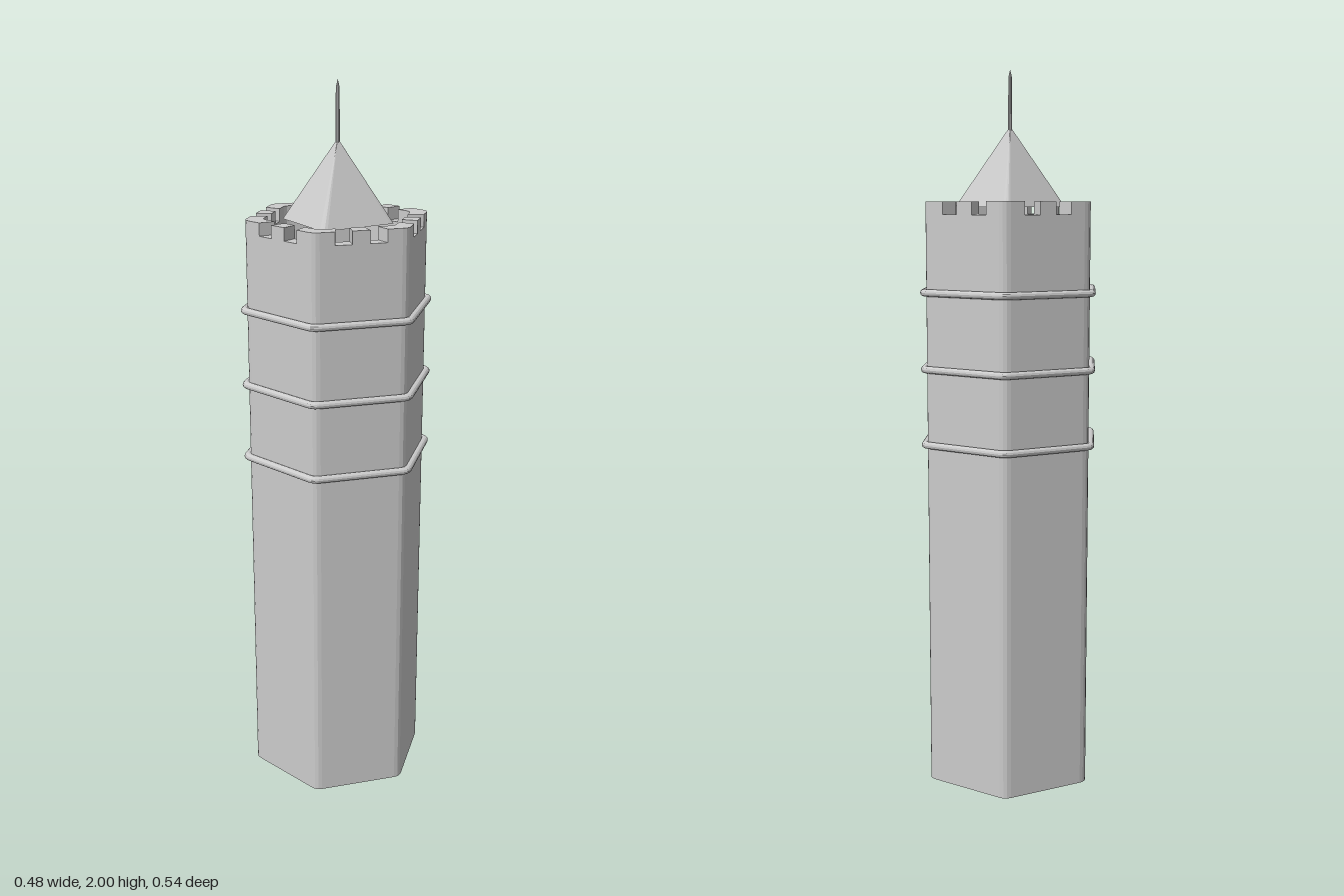
import * as THREE from 'three';

const SEG = 3; // facets that ease each corner
const OUTER = 0.223, INNER = 0.18; // wall, centre to face
const SILL = 1.61, TOP = 1.645; // bottom and top of the battlements
const material = new THREE.MeshStandardMaterial({ color: 0xcccccc, flatShading: true });

// Regular polygon with eased corners, counter-clockwise
function easedPolygon(sides, radius, start, setback) {
  const corner = (k) => {
    const a = start + (k * 2 * Math.PI) / sides;
    return new THREE.Vector2(Math.cos(a) * radius, Math.sin(a) * radius);
  };
  const points = [];
  for (let k = 0; k < sides; k++) {
    const c = corner(k);
    const toward = (n) => corner(n).sub(c).setLength(setback).add(c);
    points.push(...new THREE.QuadraticBezierCurve(toward(k - 1), c, toward(k + 1)).getPoints(SEG));
  }
  return points;
}

const hexagon = (apothem) =>
  easedPolygon(6, apothem / Math.cos(Math.PI / 6), Math.PI / 6, 0.018);

// Skin between a series of {points, y} loops
function loft(loops) {
  const n = loops[0].points.length;
  const positions = [], index = [];
  for (const { points, y } of loops) for (const p of points) positions.push(p.x, y, -p.y);
  for (let i = 0; i < loops.length - 1; i++) {
    for (let j = 0; j < n; j++) {
      const a = i * n + j, b = i * n + ((j + 1) % n);
      index.push(a, b, b + n, a, b + n, a + n);
    }
  }
  const geometry = new THREE.BufferGeometry();
  geometry.setAttribute('position', new THREE.Float32BufferAttribute(positions, 3));
  geometry.setIndex(index);
  const flat = geometry.toNonIndexed();
  flat.computeVertexNormals();
  return flat;
}

// Plan shape raised from one height to another
function raise(shape, bottom, top) {
  return new THREE.ExtrudeGeometry(shape, { depth: top - bottom, bevelEnabled: false })
    .rotateX(-Math.PI / 2)
    .translate(0, bottom, 0);
}

// Point on face k, a given fraction of the apothem along from its middle
function onFace(k, apothem, fraction) {
  return new THREE.Vector2(apothem, apothem * fraction)
    .rotateAround(new THREE.Vector2(), (k * Math.PI) / 3);
}

export function createModel() {
  const model = new THREE.Group();
  const add = (parent, name, geometry) => {
    const mesh = new THREE.Mesh(geometry, material);
    mesh.name = name;
    parent.add(mesh);
  };
  const outer = hexagon(OUTER), inner = hexagon(INNER);

  // Hollow shaft, open at both ends
  const plan = new THREE.Shape(outer);
  plan.holes.push(new THREE.Path(inner));
  add(model, 'shaft', raise(plan, 0, SILL));

  // Battlements: one merlon at the middle of each face, one around each corner
  const battlements = new THREE.Group();
  battlements.name = 'battlements';
  model.add(battlements);
  const near = 0.108, far = 0.314;
  for (let k = 0; k < 6; k++) {
    const middle = [
      onFace(k, OUTER, -near), onFace(k, OUTER, near),
      onFace(k, INNER, near), onFace(k, INNER, -near),
    ];
    add(battlements, 'faceMerlon', raise(new THREE.Shape(middle), SILL, TOP));

    const bend = (points) => points.slice(k * (SEG + 1), (k + 1) * (SEG + 1));
    const around = [
      onFace(k, OUTER, far), ...bend(outer), onFace(k + 1, OUTER, -far),
      onFace(k + 1, INNER, -far), ...bend(inner).reverse(), onFace(k, INNER, far),
    ];
    add(battlements, 'cornerMerlon', raise(new THREE.Shape(around), SILL, TOP));
  }

  // Three rounded bands
  for (const y of [0.98, 1.19, 1.4]) {
    const loops = [];
    for (let i = 0; i <= 12; i++) {
      const a = (i / 12) * 2 * Math.PI;
      loops.push({ points: hexagon(0.229 + 0.01 * Math.cos(a)), y: y + 0.01 * Math.sin(a) });
    }
    add(model, 'band', loft(loops));
  }

  // Four-sided roof with eased ridges and a closed base
  const base = easedPolygon(4, 0.158, 0, 0.014);
  const scaled = (s) => base.map((p) => p.clone().multiplyScalar(s));
  add(model, 'roof', loft([
    { points: scaled(0), y: 1.63 },
    { points: base, y: 1.63 },
    { points: scaled(0.03), y: 1.842 },
    { points: scaled(0), y: 1.846 },
  ]));

  // Spire with a pointed tip
  const spire = [[0, 1.83], [0.006, 1.83], [0.005, 1.98], [0, 2]];
  add(model, 'spire', new THREE.LatheGeometry(spire.map(([r, y]) => new THREE.Vector2(r, y)), 10));

  return model;
}
